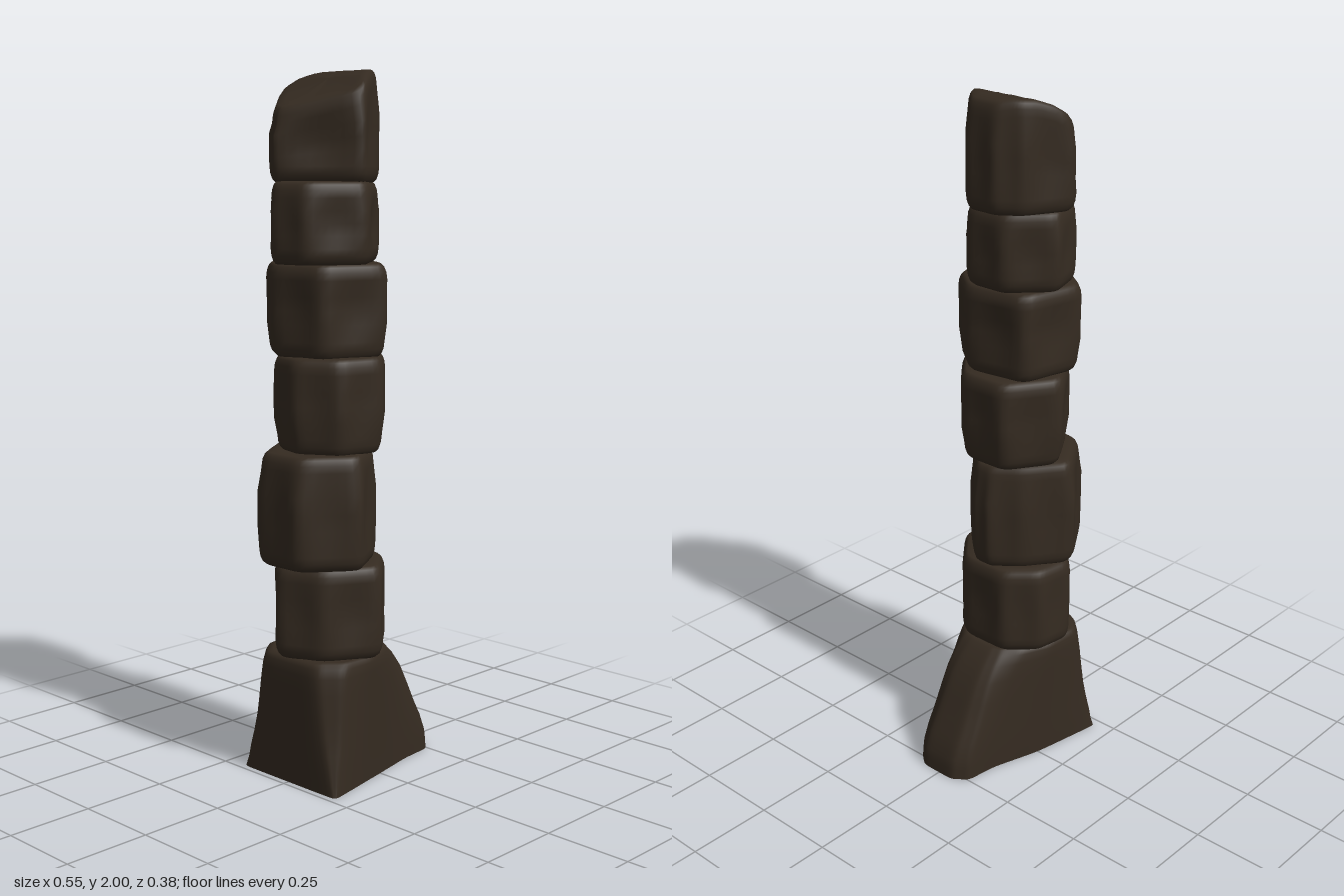
import * as THREE from 'three';

const STEPS = 8; // samples along each edge of a stone's outline

// Rounded polygon outline; corners run from +x towards +z. dish hollows the faces.
function outline(corners, dish = 0) {
  let pts = [];
  corners.forEach((c, i) => {
    const d = corners[(i + 1) % corners.length];
    for (let s = 0; s < STEPS; s++) {
      const t = s / STEPS, h = dish * Math.sin(Math.PI * t);
      pts.push([
        c[0] + (d[0] - c[0]) * t - (d[1] - c[1]) * h,
        c[1] + (d[1] - c[1]) * t + (d[0] - c[0]) * h,
      ]);
    }
  });
  const n = pts.length;
  for (let p = 0; p < 2; p++) {
    pts = pts.map((q, i) => {
      const a = pts[(i + n - 1) % n], b = pts[(i + 1) % n];
      return [0, 1].map((k) => (a[k] + 2 * q[k] + b[k]) / 4);
    });
  }
  return pts;
}

// Skin a stack of rings, each an array of [x, y, z]
function loft(rings) {
  const n = rings[0].length, index = [];
  for (let r = 0; r < rings.length - 1; r++) {
    for (let i = 0; i < n; i++) {
      const a = r * n + i, b = r * n + (i + 1) % n;
      index.push(a, a + n, b, b, a + n, b + n);
    }
  }
  const g = new THREE.BufferGeometry();
  g.setAttribute('position', new THREE.Float32BufferAttribute(rings.flat(2), 3));
  g.setIndex(index);
  g.computeVertexNormals();
  return g;
}

function shrink(pts, s) {
  const c = [0, 1].map((k) => pts.reduce((sum, p) => sum + p[k], 0) / pts.length);
  return pts.map((p) => [c[0] + (p[0] - c[0]) * s, c[1] + (p[1] - c[1]) * s]);
}

// Edge rounding: [scale, distance in from the end]
const EDGE = [[0.002, 0], [0.4, 0], [0.75, 0], [0.89, 0.002], [0.94, 0.01], [0.975, 0.025], [0.99, 0.045]];

// A hollow-faced block with soft edges; low and high narrow its two ends.
// The top may be a height or a function of x.
function stoneGeometry({ corners, bottom, top, low, high }) {
  const topAt = typeof top === 'function' ? top : () => top;
  const flat = outline(corners), hollow = outline(corners, 0.08);
  const rings = [];
  const add = (pts, s, y) => rings.push(shrink(pts, s).map(([x, z]) => [x, y(x), z]));
  EDGE.forEach(([s, d]) => add(flat, s * low, () => bottom + d));
  [0.35, 0.5, 0.65].forEach((t) => add(hollow, 1, (x) => bottom + (topAt(x) - bottom) * t));
  [...EDGE].reverse().forEach(([s, d]) => add(flat, s * high, (x) => topAt(x) - d));
  return loft(rings);
}

// Broken slanted top of the highest stone
const SLOPE = [[-0.24, 1.885], [-0.16, 1.915], [-0.1, 1.94], [-0.04, 1.98], [0, 1.995], [0.05, 2.0], [0.1, 1.985]];
function slantedTop(x) {
  const i = Math.max(1, SLOPE.findIndex((p) => x <= p[0]));
  const [x0, y0] = SLOPE[i - 1], [x1, y1] = SLOPE[i];
  return y0 + (y1 - y0) * (x - x0) / (x1 - x0);
}

// Outlines as [x, z] corners, from the lowest stone to the highest
const STONES = [
  { bottom: 0.362, top: 0.632, low: 0.98, high: 0.98, corners: [[0.092, 0.08], [-0.045, 0.197], [-0.2, 0.11], [-0.258, -0.03], [-0.11, -0.185], [0.01, -0.168], [0.092, -0.08]] },
  { bottom: 0.628, top: 0.952, low: 0.97, high: 0.93, corners: [[0.093, 0.03], [0.02, 0.11], [-0.13, 0.2], [-0.28, 0.085], [-0.28, -0.085], [-0.1, -0.203], [0.03, -0.11], [0.093, -0.03]] },
  { bottom: 0.948, top: 1.218, low: 0.93, high: 0.98, corners: [[0.095, 0.075], [-0.03, 0.186], [-0.17, 0.15], [-0.242, 0.03], [-0.205, -0.09], [-0.06, -0.184], [0.095, -0.085]] },
  { bottom: 1.214, top: 1.474, low: 0.95, high: 0.99, corners: [[0.078, 0.07], [-0.01, 0.182], [-0.2, 0.11], [-0.236, -0.06], [-0.15, -0.175], [0.05, -0.13]] },
  { bottom: 1.47, top: 1.696, low: 0.98, high: 0.96, corners: [[0.077, 0.07], [-0.085, 0.184], [-0.24, 0.085], [-0.264, -0.03], [-0.16, -0.14], [-0.04, -0.178], [0.077, -0.07]] },
  { bottom: 1.69, top: slantedTop, low: 0.99, high: 0.94, corners: [[0.095, 0.045], [0.035, 0.1], [-0.1, 0.178], [-0.243, -0.03], [-0.225, -0.075], [-0.09, -0.192], [0.045, -0.122], [0.095, -0.055]] },
];

// Flared footing: a long foot with sharp rear corners, chamfered towards a compact top
function baseGeometries() {
  const foot = outline([[0.279, 0.06], [0.245, 0.102], [0.14, 0.112], [0.0, 0.142], [-0.222, 0.187], [-0.232, 0.175],
    [-0.232, -0.175], [-0.222, -0.19], [0.0, -0.152], [0.15, -0.105], [0.245, -0.093], [0.279, -0.05]]);
  const head = outline([[0.098, 0.04], [0.085, 0.08], [0.04, 0.125], [-0.05, 0.165], [-0.165, 0.162], [-0.23, 0.1],
    [-0.23, -0.1], [-0.165, -0.162], [-0.05, -0.16], [0.04, -0.12], [0.085, -0.075], [0.098, -0.04]]);
  // [height, blend, scale]
  const levels = [[0, 0, 1], [0.03, 0.015, 1], [0.06, 0.04, 1], [0.11, 0.15, 1], [0.16, 0.3, 1], [0.22, 0.46, 1], [0.28, 0.63, 1],
    [0.325, 0.82, 1], [0.35, 0.95, 0.985], [0.363, 1, 0.95], [0.366, 1, 0.88], [0.366, 1, 0.5], [0.366, 1, 0.002]];
  const side = levels.map(([y, t, s]) => {
    const mix = foot.map((p, i) => {
      // the rear pinches in sooner than the toe
      const rear = THREE.MathUtils.smoothstep(-p[0], 0, 0.2);
      const w = t ** (1 - 0.55 * rear);
      return [p[0] + (head[i][0] - p[0]) * w, p[1] + (head[i][1] - p[1]) * w];
    });
    return shrink(mix, s).map(([x, z]) => [x, y, z]);
  });
  const sole = [0.002, 1].map((s) => shrink(foot, s).map(([x, z]) => [x, 0, z]));
  return { base: loft(side), baseUnderside: loft(sole) };
}

export function createModel() {
  const group = new THREE.Group();
  group.name = 'stonePillar';
  const stone = new THREE.MeshStandardMaterial({ color: 0x352b21 });
  stone.name = 'darkBrownStone';
  const add = (name, geometry) => {
    const mesh = new THREE.Mesh(geometry, stone);
    mesh.name = name;
    group.add(mesh);
  };

  Object.entries(baseGeometries()).forEach(([name, g]) => add(name, g));
  STONES.forEach((s, i) => {
    add(i === STONES.length - 1 ? 'topStone' : `stackedStone${i + 1}`, stoneGeometry(s));
  });
  return group;
}
